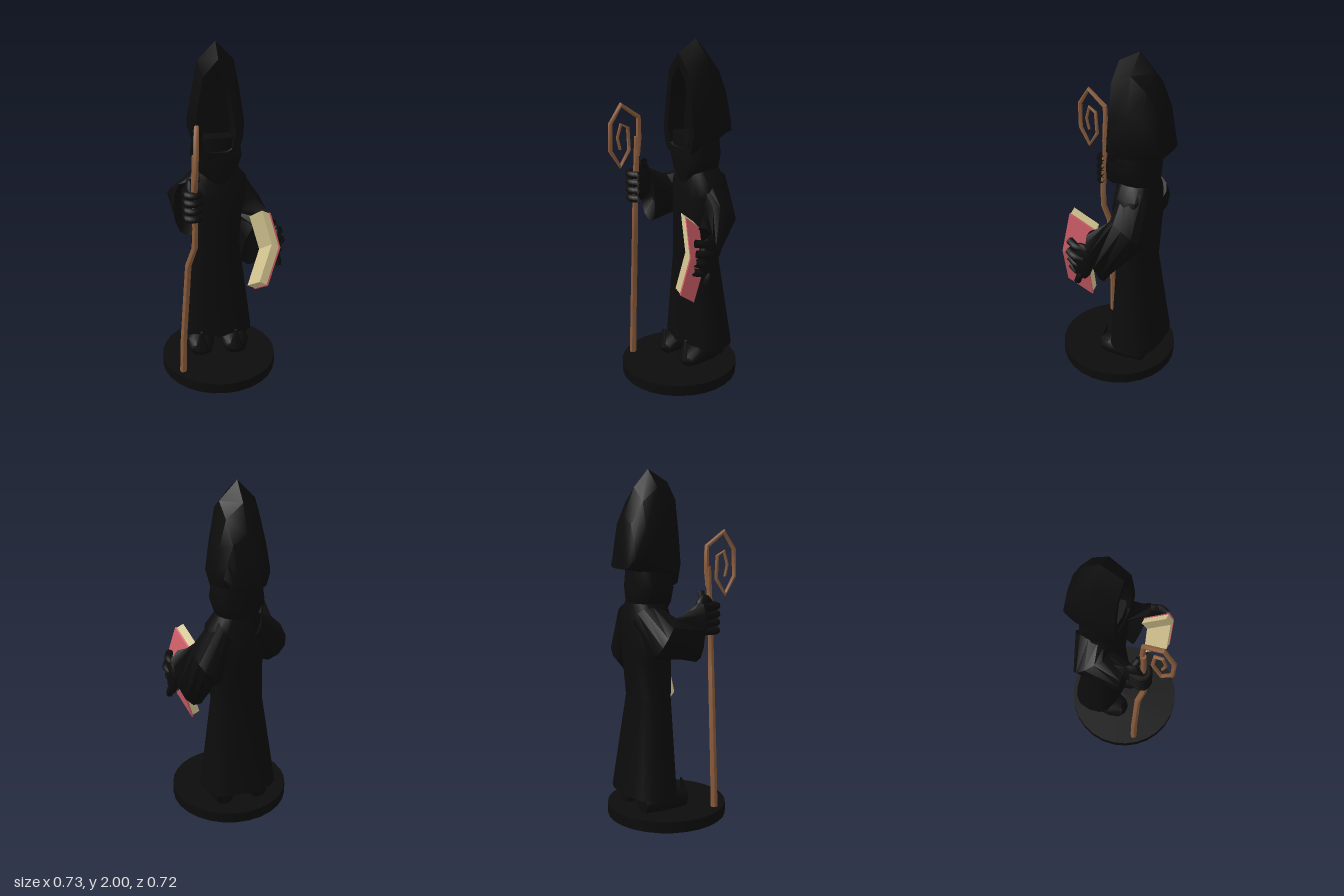
import * as THREE from 'three';
import { toCreasedNormals } from 'three/addons/utils/BufferGeometryUtils.js';

const V = (x, y, z) => new THREE.Vector3(x, y, z);

function material(name, color) {
  const m = new THREE.MeshStandardMaterial({ color, side: THREE.DoubleSide });
  m.name = name;
  return m;
}

// Skin over a list of point rings, closed by a fan at both ends
function loft(rings, crease = 0.7) {
  const n = rings[0].length, pos = [], idx = [];
  rings.forEach(r => r.forEach(p => pos.push(p.x, p.y, p.z)));
  for (let i = 0; i < rings.length - 1; i++) {
    for (let j = 0; j < n; j++) {
      const a = i * n + j, b = i * n + (j + 1) % n;
      idx.push(a, a + n, b, b, a + n, b + n);
    }
  }
  [0, rings.length - 1].forEach((k, end) => {
    const c = rings[k].reduce((s, p) => s.add(p), V(0, 0, 0)).divideScalar(n);
    const ci = pos.length / 3;
    pos.push(c.x, c.y, c.z);
    for (let j = 0; j < n; j++) {
      const a = k * n + j, b = k * n + (j + 1) % n;
      if (end) idx.push(ci, b, a); else idx.push(ci, a, b);
    }
  });
  const g = new THREE.BufferGeometry();
  g.setAttribute('position', new THREE.Float32BufferAttribute(pos, 3));
  g.setIndex(idx);
  return toCreasedNormals(g, crease);
}

// Rounded ring about centre c spanned by half axes u and v
function ring(c, u, v, power = 0.85, n = 12) {
  const soft = t => Math.sign(t) * Math.pow(Math.abs(t), power);
  return Array.from({ length: n }, (_, i) => {
    const a = i / n * Math.PI * 2;
    return V(...c).addScaledVector(V(...u), soft(Math.cos(a))).addScaledVector(V(...v), soft(Math.sin(a)));
  });
}

// Horizontal ring: [y, centre x, centre z, half width, half depth]
const level = ([y, x, z, rx, rz]) => ring([x, y, z], [rx, 0, 0], [0, 0, -rz], 0.75, 16);

export function createModel() {
  const model = new THREE.Group();
  const black = material('black cloth', 0x0c0c0c);
  const wood = material('brown wood', 0x8a5c3c);
  const red = material('red cover', 0xd2606a);
  const cream = material('cream paper', 0xd8c893);

  const add = (name, geometry, mat, parent = model) => {
    const mesh = new THREE.Mesh(geometry, mat);
    mesh.name = name;
    parent.add(mesh);
    return mesh;
  };
  const group = name => {
    const g = new THREE.Group();
    g.name = name;
    model.add(g);
    return g;
  };
  const tube = (points, radius, sides = 7) => new THREE.TubeGeometry(
    new THREE.CatmullRomCurve3(points.map(p => V(...p))), points.length * 3, radius, sides);

  // Round base
  add('base', new THREE.CylinderGeometry(0.35, 0.35, 0.065, 28), black).position.set(-0.015, 0.0325, -0.01);

  // Robe and cowl
  add('robe', loft([
    [0.165, -0.015, -0.165, 0.225, 0.15], [0.72, -0.015, -0.135, 0.15, 0.105],
    [0.95, -0.005, -0.14, 0.15, 0.12], [1.12, 0, -0.145, 0.175, 0.125],
    [1.2, 0, -0.145, 0.165, 0.115], [1.29, -0.01, -0.145, 0.1, 0.1],
  ].map(level)), black);
  add('cowl', loft([
    [1.2, -0.005, -0.12, 0.05, 0.1], [1.27, -0.012, -0.13, 0.12, 0.12],
    [1.35, -0.015, -0.13, 0.15, 0.12], [1.48, -0.015, -0.13, 0.13, 0.115],
  ].map(level)), black);

  // Hood, from the recess out over the rim and round to the back
  const arch = [[0, 1], [0.1, 0.83], [0.14, 0.5], [0.165, 0.22], [0.13, 0.03], [0.08, 0]];
  const outline = arch.concat(arch.slice(1).reverse().map(([x, y]) => [-x, y]));
  add('hood', loft([
    [-0.11, 0.5, 1.44, 1.8], [-0.006, 0.6, 1.4, 1.86], [-0.005, 0.84, 1.36, 1.93],
    [-0.13, 1, 1.4, 2.0], [-0.22, 0.94, 1.44, 1.9], [-0.285, 0.78, 1.46, 1.75], [-0.315, 0.6, 1.46, 1.52],
  ].map(([z, s, low, high]) => outline.map(([x, y]) => V(-0.015 + x * s, low + y * (high - low), z)))), black);

  // Wide sleeves, ending in a hollow cuff
  const sleeve = (name, rings) => add(name, loft(rings.map(r => ring(...r))), black);
  sleeve('rightSleeve', [
    [[-0.09, 1.18, -0.17], [-0.04, 0.07, 0], [0, 0, 0.1]],
    [[-0.19, 1.08, -0.13], [-0.09, 0.07, 0], [0.05, 0.08, 0.08]],
    [[-0.205, 1.1, 0.08], [-0.075, 0.02, 0], [0, 0.17, 0.01]],
    [[-0.2, 1.12, 0.02], [-0.045, 0, 0], [0, 0.1, 0]],
  ]);
  sleeve('leftSleeve', [
    [[0.08, 1.18, -0.17], [0.04, 0.07, 0], [0, 0, 0.1]],
    [[0.165, 1.0, -0.165], [0.08, 0.06, 0], [0, 0.06, 0.1]],
    [[0.225, 0.83, 0], [0.08, -0.03, -0.02], [0.06, 0.17, 0.03]],
    [[0.22, 0.85, -0.05], [0.04, 0, 0], [0.03, 0.1, 0]],
  ]);

  // Hand gripping the staff
  const rightHand = group('rightHand');
  const palm = (parent, p, s) => {
    const m = add('palm', new THREE.SphereGeometry(1, 10, 8), black, parent);
    m.position.set(...p);
    m.scale.set(...s);
  };
  palm(rightHand, [-0.195, 1.19, 0.13], [0.035, 0.12, 0.07]);
  for (let i = 0; i < 4; i++) {
    const y = 1.1 + i * 0.047;
    add('finger', tube([[-0.215, y, 0.12], [-0.215, y, 0.2], [-0.175, y, 0.213], [-0.14, y, 0.19]], 0.022), black, rightHand);
  }
  add('thumb', tube([[-0.2, 1.26, 0.11], [-0.17, 1.29, 0.13], [-0.145, 1.315, 0.14]], 0.02), black, rightHand);

  // Hand behind the book
  const leftHand = group('leftHand');
  palm(leftHand, [0.315, 0.84, 0.045], [0.032, 0.12, 0.07]);
  for (let i = 0; i < 4; i++) {
    const y = 0.75 + i * 0.058;
    const x = 0.325 - Math.abs(i - 2) * 0.014;
    add('finger', tube([[x, y, 0.03], [x + 0.015, y + 0.01, 0.08], [x - 0.005, y + 0.02, 0.13]], 0.023), black, leftHand);
  }
  add('thumb', tube([[0.31, 0.78, 0.04], [0.33, 0.73, 0.06], [0.33, 0.7, 0.07]], 0.02), black, leftHand);

  // Shoes with upturned toes, and legs
  [[-0.125, 'right'], [0.09, 'left']].forEach(([x, side]) => {
    add(side + 'Shoe', loft([
      [0.115, -0.24, 0.05, 0.05], [0.13, -0.12, 0.085, 0.065], [0.125, -0.03, 0.085, 0.06], [0.11, 0.025, 0.065, 0.045],
    ].map(([y, z, rx, ry]) => ring([x, y, z], [rx, 0, 0], [0, ry, 0]))
      .concat([
        ring([x, 0.13, 0.045], [0.04, 0, 0], [0, 0.025, -0.012]),
        ring([x, 0.23, 0.022], [0.008, 0, 0], [0, 0.003, -0.006]),
      ])), black);
    add(side + 'Leg', new THREE.CylinderGeometry(0.065, 0.075, 0.2, 10), black).position.set(x, 0.19, -0.13);
  });

  // Crooked staff with a flat-sided spiral head
  const staff = group('staff');
  const stick = (name, points) => add(name, loft(points.map(([x, y, z, r], i) => {
    const p = points[Math.max(i - 1, 0)], q = points[Math.min(i + 1, points.length - 1)];
    const t = V(0, q[1] - p[1], q[2] - p[2]).normalize();
    return ring([x, y, z], [r, 0, 0], [0, -t.z * r, t.y * r], 1, 7);
  })), wood, staff);
  stick('shaft', [
    [-0.255, 0.065, 0.17, 0.021], [-0.247, 0.3, 0.168, 0.02], [-0.213, 0.79, 0.172, 0.019],
    [-0.177, 0.91, 0.193, 0.018], [-0.172, 1.03, 0.193, 0.017], [-0.175, 1.25, 0.18, 0.017], [-0.168, 1.46, 0.174, 0.016],
  ]);
  const spiral = [
    [1.35, 0.175], [1.45, 0.165], [1.575, 0.168], [1.655, 0.28], [1.555, 0.345], [1.4, 0.347], [1.3, 0.285],
    [1.39, 0.228], [1.52, 0.236], [1.545, 0.28], [1.47, 0.302], [1.4, 0.285],
  ];
  stick('spiralHead', spiral.map(([y, z], i) =>
    [-0.16 - (z - 0.165) * 0.09 + (y - 1.5) * 0.03, y, z, 0.016 - i * 0.0007]));

  // Open book: three fold lines joined by two slanted halves
  const book = group('book');
  const width = V(0.05, 0.1, 0.137);
  const folds = [V(0.26, 1.085, 0.157), V(0.32, 0.87, 0.172), V(0.25, 0.63, 0.187)];
  const thick = V(-0.05, 0.025, 0);
  const layer = (name, from, to, inset, mat) => add(name, loft(folds.map((f, i) => {
    const p = f.clone();
    if (i !== 1) p.lerp(folds[1], inset);
    const far = p.clone().addScaledVector(width, -1 + inset);
    const near = p.clone().addScaledVector(width, -inset);
    return [
      near.clone().addScaledVector(thick, from), near.clone().addScaledVector(thick, to),
      far.clone().addScaledVector(thick, to), far.clone().addScaledVector(thick, from),
    ];
  }), 0.2), mat, book);
  layer('cover', 0, 0.18, 0, red);
  layer('pages', 0.18, 1, 0.02, cream);

  return model;
}
